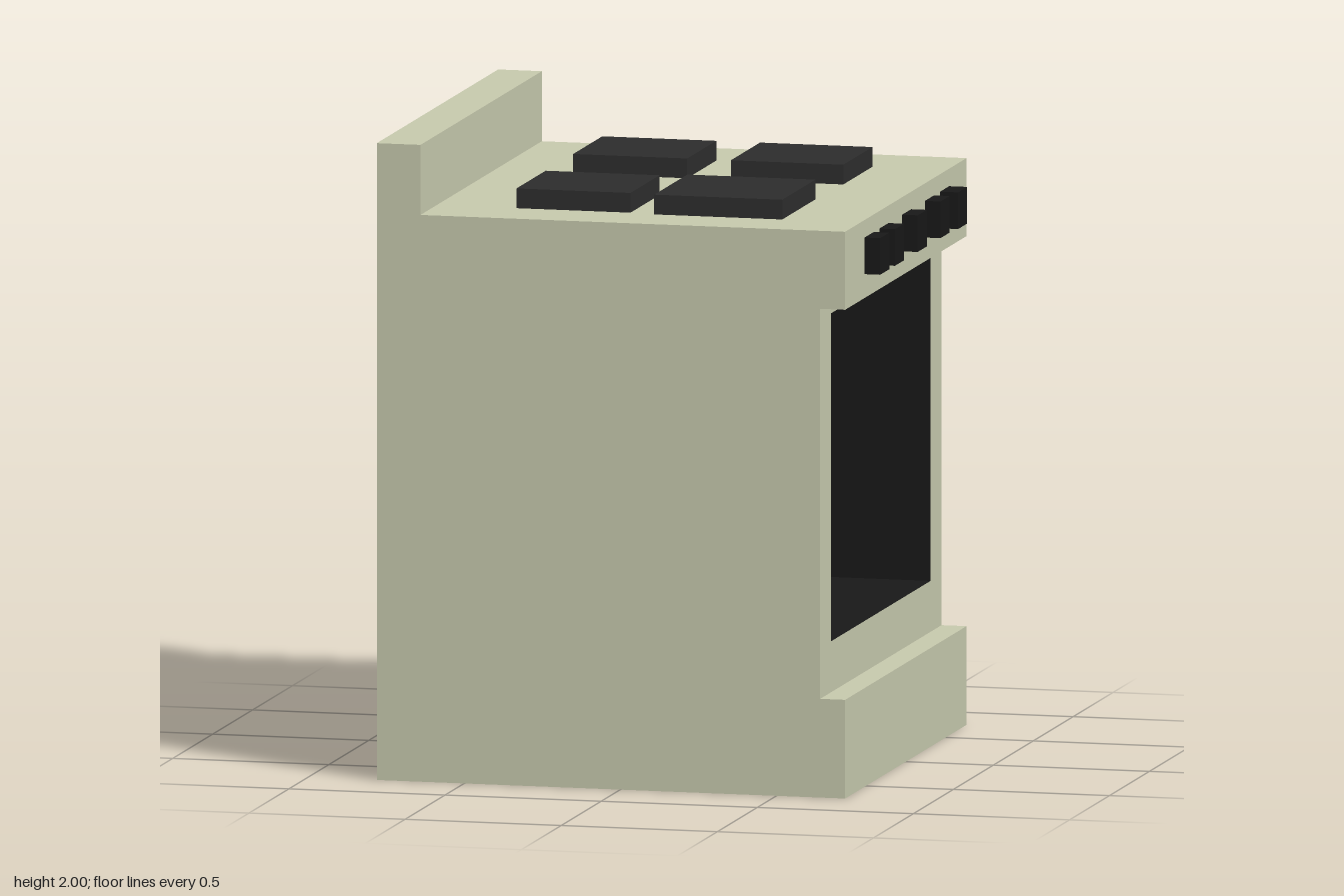
import * as THREE from 'three';

const enamel = new THREE.MeshStandardMaterial({ color: 0xc6c9ad });
const black = new THREE.MeshStandardMaterial({ color: 0x181818 });
const iron = new THREE.MeshStandardMaterial({ color: 0x2d2d2d });
const pink = new THREE.MeshStandardMaterial({ color: 0xe0b8bc });

const toShape = (pts, Kind = THREE.Shape) => new Kind(pts.map(([x, y]) => new THREE.Vector2(x, y)));

function add(parent, name, geometry, material) {
  const mesh = new THREE.Mesh(geometry, material);
  mesh.name = name;
  parent.add(mesh);
  return mesh;
}

// Box given by its lower and upper corners
function box(parent, name, a, b, material) {
  const mesh = add(parent, name, new THREE.BoxGeometry(b[0] - a[0], b[1] - a[1], b[2] - a[2]), material);
  mesh.position.set((a[0] + b[0]) / 2, (a[1] + b[1]) / 2, (a[2] + b[2]) / 2);
  return mesh;
}

// Side profile swept across the width, leaving the door recess open
function housingGeometry(profile, halfWidth, recessX) {
  const geo = new THREE.ExtrudeGeometry(toShape(profile), { depth: 2 * halfWidth, bevelEnabled: false });
  geo.translate(0, 0, -halfWidth);
  const p = geo.attributes.position;
  const kept = [];
  for (let i = 0; i < p.count; i += 3) {
    const onRecess = [0, 1, 2].every((k) => Math.abs(p.getX(i + k) - recessX) < 1e-4);
    if (onRecess) continue;
    for (let k = 0; k < 3; k++) kept.push(p.getX(i + k), p.getY(i + k), p.getZ(i + k));
  }
  const out = new THREE.BufferGeometry();
  out.setAttribute('position', new THREE.Float32BufferAttribute(kept, 3));
  out.computeVertexNormals();
  return out;
}

// Rectangle with cut corners
const octagon = (hx, hz, cx, cz) => [
  [hx, -hz + cz], [hx, hz - cz], [hx - cx, hz], [cx - hx, hz],
  [-hx, hz - cz], [-hx, cz - hz], [cx - hx, -hz], [hx - cx, -hz],
];

export function createModel() {
  const stove = new THREE.Group();
  stove.name = 'stove';

  const W = 0.76, recessX = 0.64;
  const oven = { y0: 0.47, y1: 1.5, z: 0.622, back: -0.62 };

  // Housing with backsplash, control strip and plinth
  const profile = [
    [-0.78, 0], [0.72, 0], [0.72, 0.31], [recessX, 0.31], [recessX, 1.535],
    [0.72, 1.535], [0.72, 1.78], [-0.64, 1.78], [-0.64, 2], [-0.78, 2],
  ];
  add(stove, 'housing', housingGeometry(profile, W, recessX), enamel);

  // Frame around the oven opening, turned to face +x
  const frame = toShape([[-W, 0.31], [W, 0.31], [W, 1.535], [-W, 1.535]]);
  frame.holes.push(toShape([
    [-oven.z, oven.y0], [-oven.z, oven.y1], [oven.z, oven.y1], [oven.z, oven.y0],
  ], THREE.Path));
  const frameGeo = new THREE.ShapeGeometry(frame).rotateY(Math.PI / 2).translate(recessX, 0, 0);
  add(stove, 'ovenFrame', frameGeo, enamel);

  // Oven cavity: a box without its front face
  const insideMaterial = black.clone();
  insideMaterial.side = THREE.DoubleSide;
  const cavity = box(stove, 'ovenCavity', [oven.back, oven.y0, -oven.z], [recessX, oven.y1, oven.z], insideMaterial);
  cavity.geometry.setIndex(Array.from(cavity.geometry.index.array).slice(6));
  cavity.geometry.clearGroups();

  // Heating elements on the oven floor and ceiling
  const ring = toShape(octagon(0.36, 0.33, 0.22, 0.14));
  ring.holes.push(toShape(octagon(0.29, 0.26, 0.19, 0.12).reverse(), THREE.Path));
  const ringGeo = new THREE.ExtrudeGeometry(ring, { depth: 0.028, bevelEnabled: false }).rotateX(-Math.PI / 2);
  for (const [name, y] of [['lowerElement', oven.y0 + 0.001], ['upperElement', oven.y1 - 0.029]]) {
    add(stove, name, ringGeo, pink).position.set(-0.1, y, -0.068);
  }

  // Hob plates: x0, x1, z0, z1
  const plates = [
    [-0.385, -0.02, -0.52, -0.155], [0.12, 0.48, -0.52, -0.155],
    [-0.385, -0.02, 0.19, 0.555], [0.06, 0.47, 0.155, 0.57],
  ];
  for (const [x0, x1, z0, z1] of plates) {
    box(stove, 'hobPlate', [x0, 1.775, z0], [x1, 1.842, z1], iron);
  }

  // Control knobs
  [-0.485, -0.295, -0.01, 0.275, 0.46].forEach((z, i) => {
    box(stove, 'knob', [0.715, 1.61, z - 0.057], [i === 0 ? 0.778 : 0.77, 1.725, z + 0.057], black);
  });

  return stove;
}
